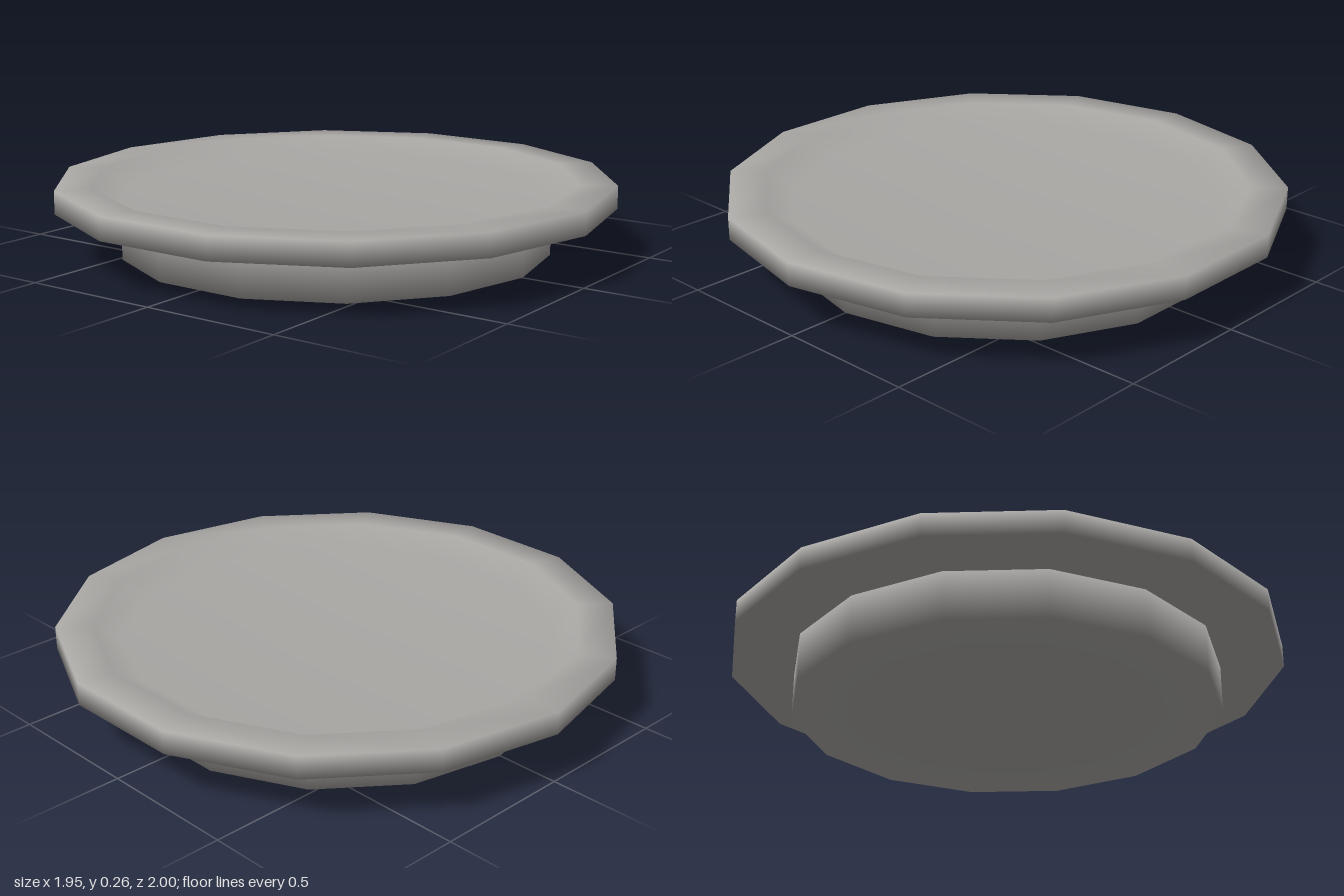
import * as THREE from 'three';

const SIDES = 14;

// Fourteen-sided turned part; the profile runs bottom centre -> outside -> top centre
function turned(name, profile, material) {
  const points = profile.map(([r, y]) => new THREE.Vector2(r, y));
  const mesh = new THREE.Mesh(new THREE.LatheGeometry(points, SIDES), material);
  mesh.name = name;
  return mesh;
}

export function createModel() {
  const group = new THREE.Group();
  group.name = 'plate';

  const glaze = new THREE.MeshStandardMaterial({ color: 0xa9a7a4 });
  glaze.name = 'warm grey glaze';

  // Foot: short drum the plate stands on
  group.add(turned('foot', [[0, 0], [0.772, 0], [0.772, 0.19], [0, 0.19]], glaze));

  // Dish: wide rim with a flat lip sloping down to a shallow floor
  group.add(turned('dish', [
    [0, 0.175], [1, 0.175], [1, 0.257],
    [0.87, 0.257], [0.77, 0.2], [0, 0.2],
  ], glaze));

  return group;
}
